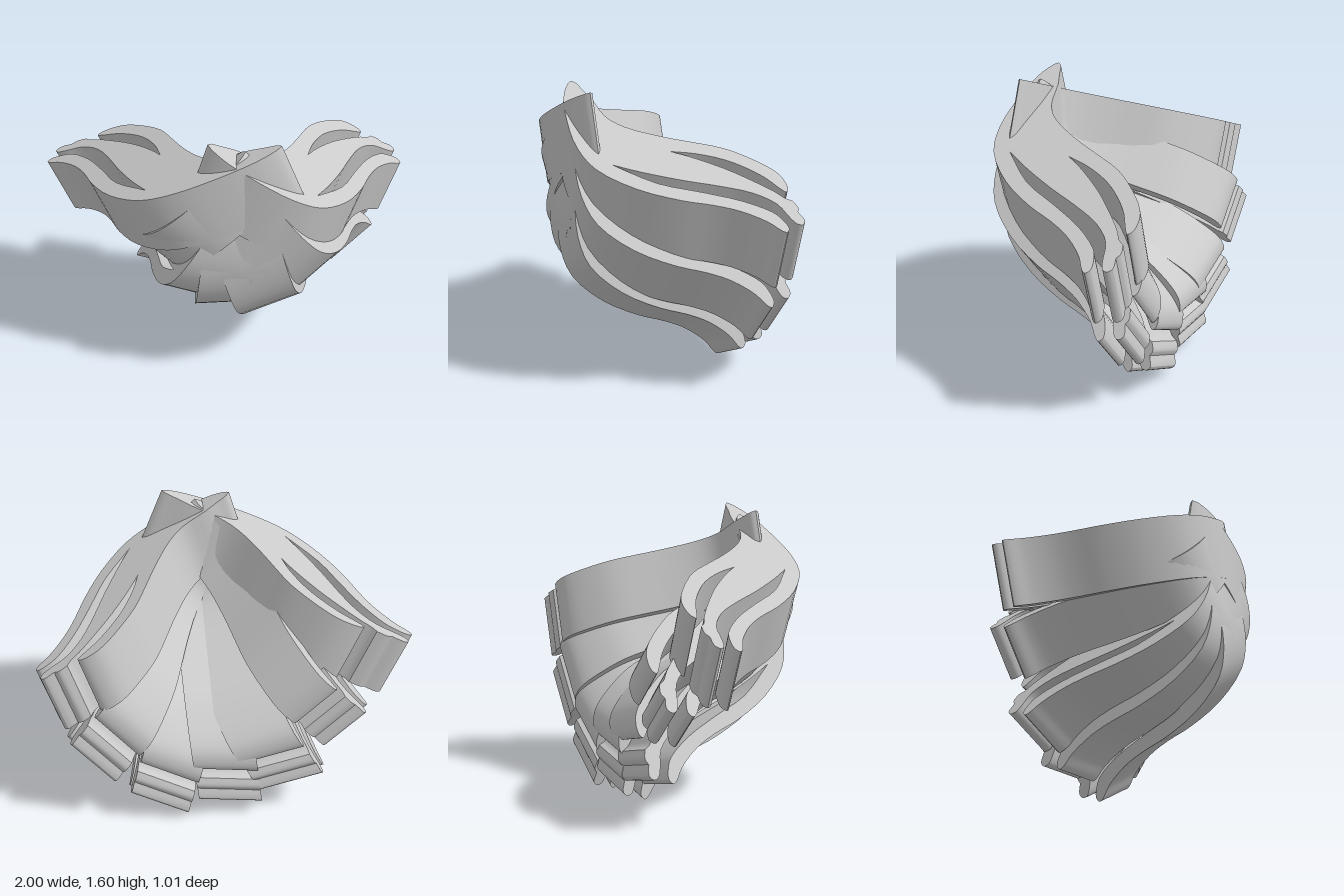
import * as THREE from 'three';
import { toCreasedNormals } from 'three/addons/utils/BufferGeometryUtils.js';

// Petal side profile: x = distance inward from the tip, y = depth (front is +).
// Each run is a smooth curve; runs meet at sharp corners.
const RUNS = [
  // front face, curling out to the first tip, then into the first slit
  [[1.22, 0.385], [1.195, 0.412], [1.1, 0.46], [0.92, 0.495], [0.72, 0.5], [0.56, 0.45], [0.4, 0.29],
    [0.29, 0.09], [0.23, -0.07], [0.17, -0.19], [0.08, -0.3], [0.015, -0.347], [0, -0.37], [0.025, -0.391],
    [0.09, -0.378], [0.14, -0.35], [0.235, -0.225], [0.33, -0.03], [0.42, 0.17], [0.58, 0.36]],
  // second lobe with a small groove under its tip
  [[0.58, 0.36], [0.51, 0.23], [0.42, 0.03], [0.355, -0.14], [0.28, -0.3], [0.19, -0.395], [0.09, -0.425],
    [0.045, -0.445], [0.035, -0.472], [0.06, -0.495], [0.12, -0.483]],
  [[0.12, -0.483], [0.15, -0.497], [0.2, -0.485]],
  // into the second slit
  [[0.2, -0.485], [0.22, -0.455], [0.27, -0.42], [0.36, -0.335], [0.47, -0.215], [0.58, -0.06], [0.63, 0.03]],
  // third lobe and the back face
  [[0.63, 0.03], [0.595, -0.1], [0.53, -0.24], [0.45, -0.34], [0.37, -0.41], [0.29, -0.455], [0.262, -0.478],
    [0.285, -0.499], [0.36, -0.5], [0.42, -0.475], [0.51, -0.395], [0.61, -0.27], [0.685, -0.1], [0.74, 0.03],
    [0.84, 0.21], [0.93, 0.285], [1.07, 0.315], [1.15, 0.345], [1.2, 0.362], [1.22, 0.385]],
];

function petalShape() {
  const shape = new THREE.Shape();
  shape.moveTo(...RUNS[0][0]);
  for (const run of RUNS) {
    const curve = new THREE.CatmullRomCurve3(run.map(([x, y]) => new THREE.Vector3(x, y, 0)));
    const points = curve.getPoints((run.length - 1) * 3);
    for (const p of points.slice(1)) shape.lineTo(p.x, p.y);
  }
  return shape;
}

// Tip corners (from, to), inward direction in degrees, length and depth factors
const PETALS = [
  { name: 'upperRightPetal', from: [-1, 1.02], to: [-0.87, 0.7], angle: 23.9, stretch: 1.172, depth: 0.855 },
  { name: 'middleRightPetal', from: [-0.76, 0.66], to: [-0.55, 0.45], angle: 45, stretch: 1.03, depth: 1 },
  { name: 'lowerRightPetal', from: [-0.54, 0.25], to: [-0.2, 0.15], angle: 60, stretch: 1, depth: 1 },
  { name: 'bottomPetal', from: [-0.19, 0.06], to: [0.16, 0.095], angle: 83.3, stretch: 1, depth: 1 },
  { name: 'lowerLeftPetal', from: [0.24, 0], to: [0.55, 0.165], angle: 105, stretch: 1, depth: 1 },
  { name: 'middleLeftPetal', from: [0.65, 0.26], to: [0.87, 0.53], angle: 127.8, stretch: 1, depth: 1 },
  { name: 'upperLeftPetal', from: [0.9, 0.65], to: [1, 0.98], angle: 150.3, stretch: 1, depth: 1 },
];

export function createModel() {
  const group = new THREE.Group();
  group.name = 'petalFan';
  const material = new THREE.MeshStandardMaterial({ color: 0xcccccc });
  const shape = petalShape();

  PETALS.forEach(({ name, from, to, angle, stretch, depth }, i) => {
    const a = THREE.MathUtils.degToRad(angle);
    // profile length runs inward, profile depth runs along z, extrusion spans the tip edge
    const front = 0.5 * (1 - depth) - 0.0005 * i;
    const matrix = new THREE.Matrix4().set(
      Math.cos(a) * stretch, 0, to[0] - from[0], from[0],
      Math.sin(a) * stretch, 0, to[1] - from[1], from[1],
      0, depth, 0, front,
      0, 0, 0, 1,
    );
    const geometry = new THREE.ExtrudeGeometry(shape, { depth: 1, bevelEnabled: false, steps: 1 });
    geometry.applyMatrix4(matrix);
    const petal = new THREE.Mesh(toCreasedNormals(geometry, 0.4), material);
    petal.name = name;
    group.add(petal);
  });
  return group;
}
